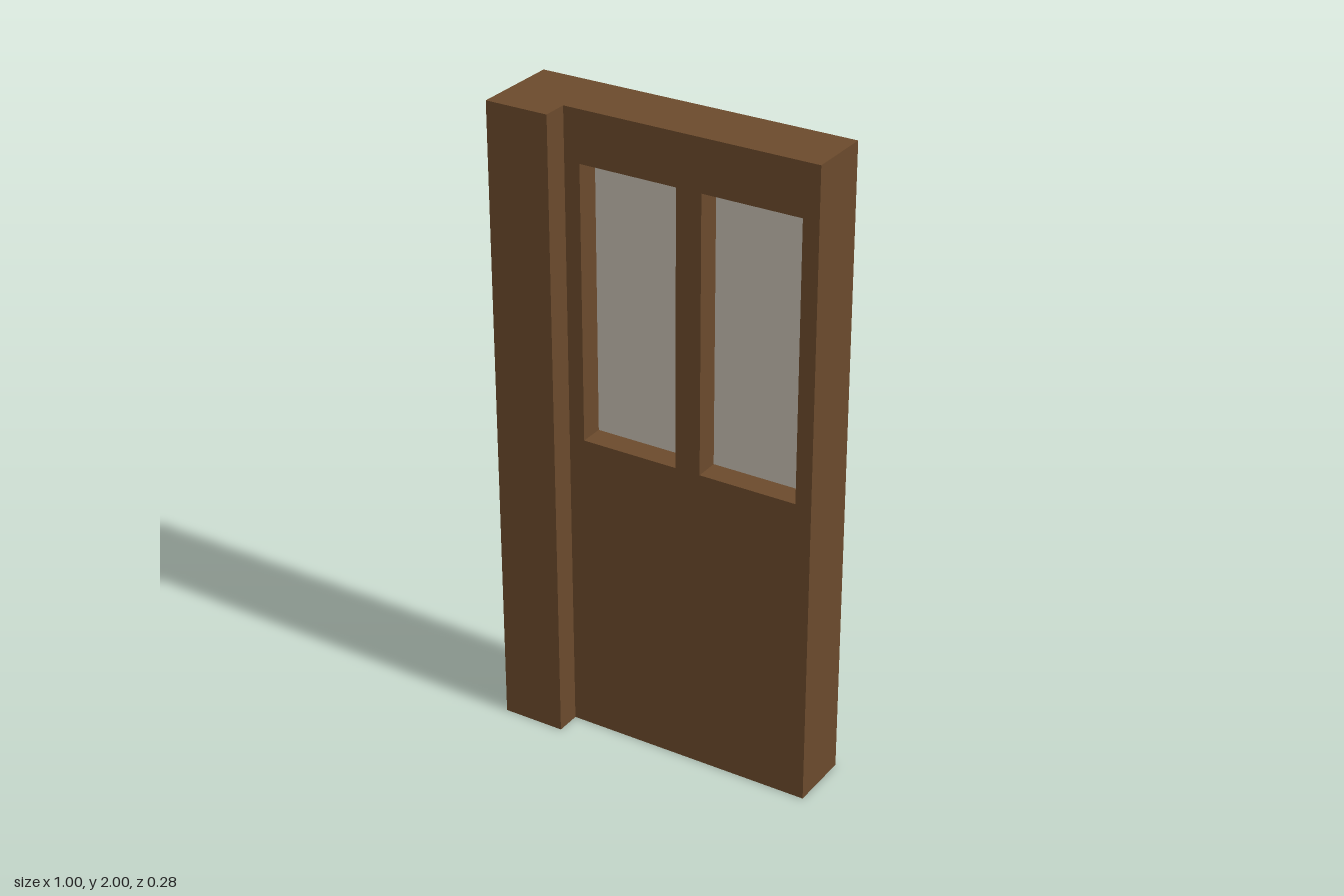
import * as THREE from 'three';

export function createModel() {
  const model = new THREE.Group();
  const wood = new THREE.MeshStandardMaterial({ name: 'brown wood', color: 0x6b4a2c });
  const glass = new THREE.MeshStandardMaterial({ name: 'pale glass', color: 0xc6beb0 });

  const add = (name, geometry, material, x, y, z) => {
    const mesh = new THREE.Mesh(geometry, material);
    mesh.name = name;
    mesh.position.set(x, y, z);
    model.add(mesh);
  };

  const back = -0.14, recess = -0.02, face = 0.06, front = 0.14;
  const postEdge = -0.3;
  const pane = { w: 0.31, h: 0.86, y: 1.41 };
  const paneCentres = [-0.095, 0.295];

  // Solid backing of the door
  add('backPanel', new THREE.BoxGeometry(1, 2, recess - back), wood, 0, 1, (back + recess) / 2);

  // Front layer with two window openings
  const outline = new THREE.Shape([
    new THREE.Vector2(postEdge, 0), new THREE.Vector2(0.5, 0),
    new THREE.Vector2(0.5, 2), new THREE.Vector2(postEdge, 2),
  ]);
  for (const x of paneCentres) {
    const l = x - pane.w / 2, r = x + pane.w / 2;
    const b = pane.y - pane.h / 2, t = pane.y + pane.h / 2;
    outline.holes.push(new THREE.Path([
      new THREE.Vector2(l, b), new THREE.Vector2(l, t),
      new THREE.Vector2(r, t), new THREE.Vector2(r, b),
    ]));
  }
  const frame = new THREE.ExtrudeGeometry(outline, { depth: face - recess, bevelEnabled: false });
  add('windowFrame', frame, wood, 0, 0, recess);

  // Post standing proud along one side
  add('sidePost', new THREE.BoxGeometry(postEdge + 0.5, 2, front - recess), wood,
    (postEdge - 0.5) / 2, 1, (front + recess) / 2);

  // Thin panes set into the openings
  paneCentres.forEach((x, i) => {
    add(i ? 'leftWindowPane' : 'rightWindowPane',
      new THREE.BoxGeometry(pane.w, pane.h, 0.004), glass, x, pane.y, recess + 0.001);
  });

  return model;
}
